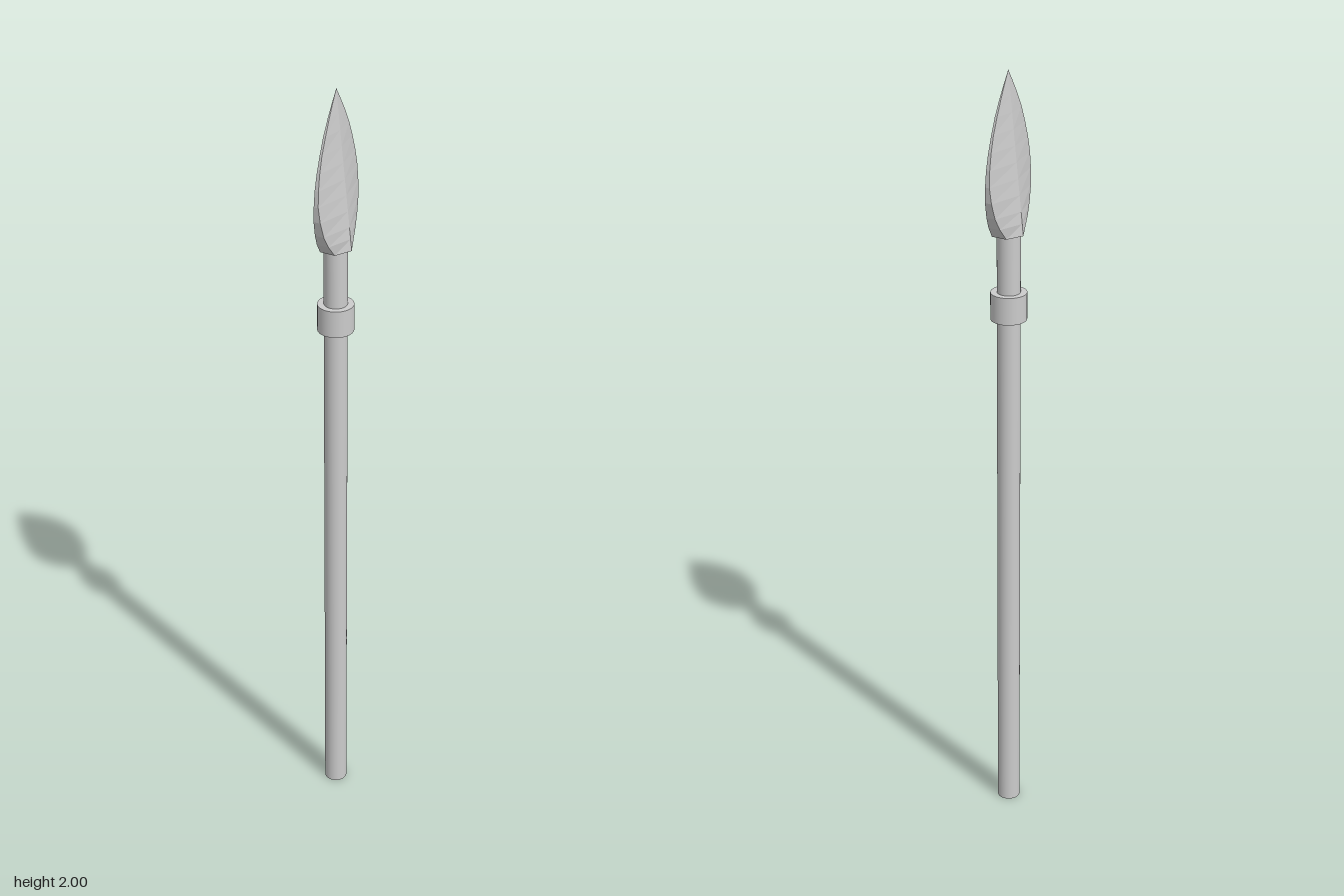
import * as THREE from 'three';

const material = new THREE.MeshStandardMaterial({ color: 0xcccccc });
const bladeMaterial = new THREE.MeshStandardMaterial({ color: 0xcccccc, flatShading: true });

// Leaf blade: six-sided sections with a blunt edge and a ridge on each face
function bladeGeometry() {
  // height, half width, half thickness of the edge
  const profile = [
    [1.6, 0.042, 0.02], [1.63, 0.064, 0.016], [1.66, 0.079, 0.012], [1.7, 0.09, 0.009],
    [1.74, 0.094, 0.006], [1.78, 0.091, 0.005], [1.82, 0.083, 0.004], [1.86, 0.071, 0.003],
    [1.9, 0.055, 0.003], [1.94, 0.035, 0.002], [1.97, 0.018, 0.001], [2, 0, 0],
  ];
  const rings = profile.map(([y, w, e]) => {
    const ridge = 0.042 * (2 - y) / 0.4;
    return [[w, e], [0, Math.max(ridge, e)], [-w, e], [-w, -e], [0, -Math.max(ridge, e)], [w, -e]]
      .map(([x, z]) => [x, y, z]);
  });
  const positions = [];
  const face = (...points) => points.forEach((p) => positions.push(...p));
  for (let k = 0; k < rings.length - 1; k++) {
    for (let i = 0; i < 6; i++) {
      const j = (i + 1) % 6;
      const a = rings[k][i], b = rings[k][j], c = rings[k + 1][j], d = rings[k + 1][i];
      face(a, d, b);
      if (k < rings.length - 2) face(b, d, c);
    }
  }
  // Closed base
  for (let i = 1; i < 5; i++) face(rings[0][0], rings[0][i], rings[0][i + 1]);
  const geometry = new THREE.BufferGeometry();
  geometry.setAttribute('position', new THREE.Float32BufferAttribute(positions, 3));
  geometry.computeVertexNormals();
  return geometry;
}

export function createModel() {
  const group = new THREE.Group();
  group.name = 'spear';

  const rod = (name, radius, bottom, top) => {
    const mesh = new THREE.Mesh(new THREE.CylinderGeometry(radius, radius, top - bottom, 32), material);
    mesh.name = name;
    mesh.position.set(-0.002, (bottom + top) / 2, -0.003);
    group.add(mesh);
  };

  // Round pole and the collar below the head
  rod('shaft', 0.029, 0, 1.61);
  rod('collar', 0.045, 1.38, 1.45);

  // Blade turned diagonally across the shaft
  const blade = new THREE.Mesh(bladeGeometry(), bladeMaterial);
  blade.name = 'blade';
  blade.position.set(-0.001, 0, -0.002);
  blade.rotation.y = Math.PI / 4;
  group.add(blade);

  return group;
}
